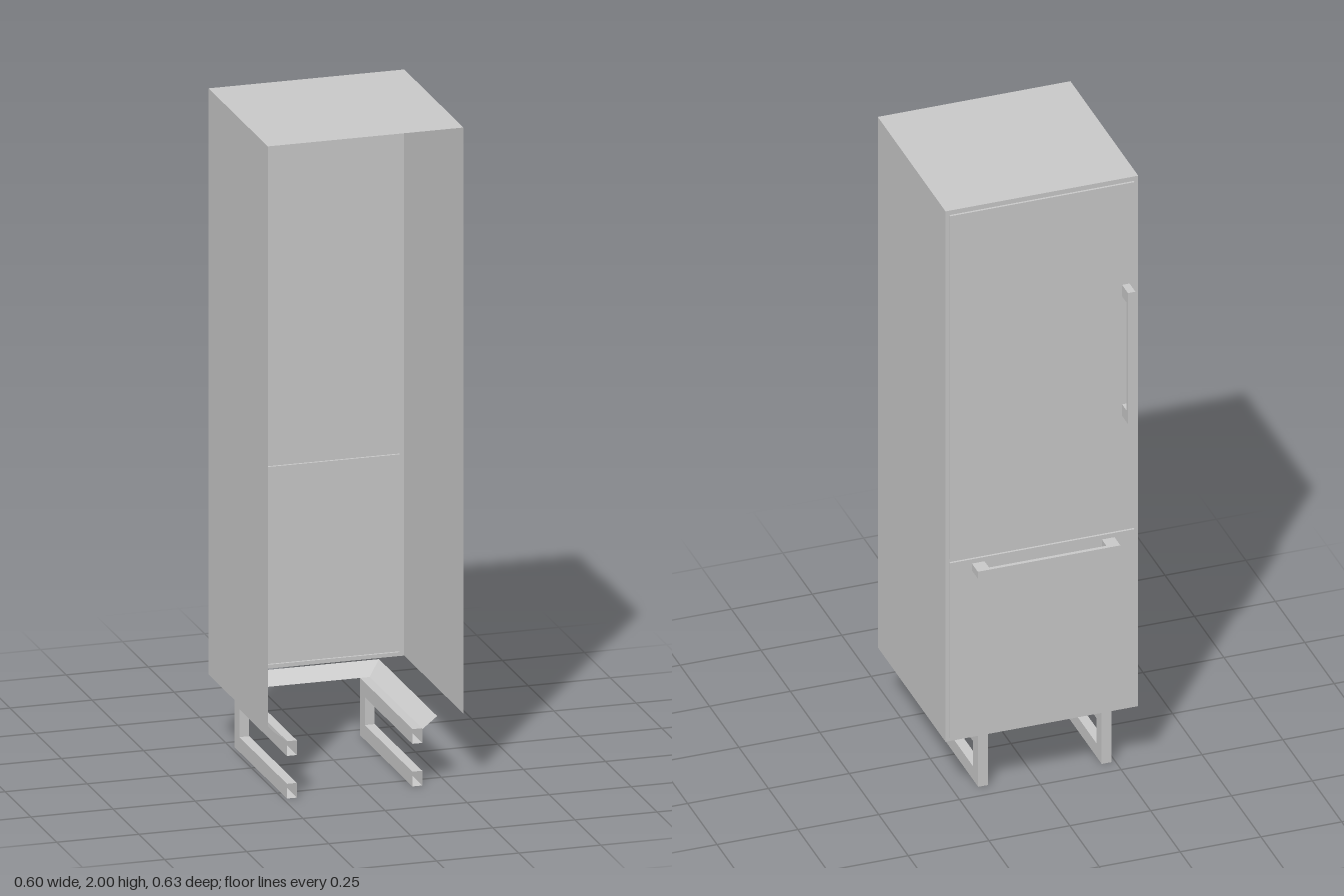
import * as THREE from 'three';

const material = new THREE.MeshStandardMaterial({ color: 0xcccccc, flatShading: true, side: THREE.DoubleSide });

function add(parent, name, geometry) {
  const mesh = new THREE.Mesh(geometry, material);
  mesh.name = name;
  parent.add(mesh);
  return mesh;
}

// Box given by its limits, with chosen sides left open (0 +x, 1 -x, 2 +y, 3 -y, 4 +z, 5 -z)
function openBox([x0, x1], [y0, y1], [z0, z1], open = []) {
  const g = new THREE.BoxGeometry(x1 - x0, y1 - y0, z1 - z0);
  const index = Array.from(g.index.array);
  g.setIndex(index.filter((_, i) => !open.includes(Math.floor(i / 6))));
  g.translate((x0 + x1) / 2, (y0 + y1) / 2, (z0 + z1) / 2);
  return g;
}

function rectangle(Type, x0, x1, y0, y1) {
  return new Type([[x0, y0], [x1, y0], [x1, y1], [x0, y1]].map(p => new THREE.Vector2(...p)));
}

// Bracket-shaped pull: a thin bar on two end posts, lying along x and standing out towards -z
function handleGeometry(length, width) {
  const h = length / 2, post = 0.039, depth = 0.05, bar = 0.012;
  const shape = new THREE.Shape([
    [-h, 0], [-h, depth], [h, depth], [h, 0], [h - post, 0],
    [h - post, depth - bar], [-h + post, depth - bar], [-h + post, 0],
  ].map(p => new THREE.Vector2(...p)));
  const g = new THREE.ExtrudeGeometry(shape, { depth: width, bevelEnabled: false });
  g.translate(0, 0, -width / 2);
  return g.rotateX(-Math.PI / 2);
}

// Sloping three-sided skirt, open at +z
function skirtGeometry() {
  const top = [[0.217, 0.314], [0.217, -0.25], [-0.281, -0.25], [-0.281, 0.314]];
  const bottom = [[0.173, 0.314], [0.173, -0.2], [-0.237, -0.2], [-0.237, 0.314]];
  const pos = [], index = [];
  for (let i = 0; i < 4; i++) {
    pos.push(top[i][0], 0.21, top[i][1], bottom[i][0], 0.175, bottom[i][1]);
    if (i < 3) index.push(2 * i, 2 * i + 1, 2 * i + 2, 2 * i + 1, 2 * i + 3, 2 * i + 2);
  }
  const g = new THREE.BufferGeometry();
  g.setAttribute('position', new THREE.Float32BufferAttribute(pos, 3));
  g.setIndex(index);
  const flat = g.toNonIndexed();
  flat.computeVertexNormals();
  return flat;
}

export function createModel() {
  const model = new THREE.Group();
  model.name = 'refrigerator';
  const X = [-0.299, 0.297], zDoor = -0.26;

  // Cabinet: top and two sides only
  add(model, 'cabinet', openBox(X, [0.21, 2], [zDoor, 0.315], [3, 4, 5]));

  // Thin frame round the two door openings
  const doors = [['upperDoor', 0.826, 1.985], ['lowerDoor', 0.222, 0.814]];
  const frame = rectangle(THREE.Shape, X[0], X[1], 0.21, 2);
  for (const [, y0, y1] of doors) frame.holes.push(rectangle(THREE.Path, -0.285, 0.285, y0, y1));
  const frameGeometry = new THREE.ShapeGeometry(frame);
  frameGeometry.rotateY(Math.PI).translate(X[0] + X[1], 0, zDoor);
  add(model, 'doorFrame', frameGeometry);

  // Hollow door panels
  for (const [name, y0, y1] of doors) {
    add(model, name, openBox([-0.285, 0.285], [y0, y1], [-0.267, zDoor], [4]));
  }

  // Handles
  const upper = add(model, 'upperDoorHandle', handleGeometry(0.442, 0.023));
  upper.rotation.z = Math.PI / 2;
  upper.position.set(-0.258, 1.425, -0.267);
  const lower = add(model, 'lowerDoorHandle', handleGeometry(0.441, 0.023));
  lower.position.set(-0.0025, 0.788, -0.267);

  // Base skirt
  add(model, 'baseSkirt', skirtGeometry());

  // Sled legs: one post with an upper and a lower rail
  for (const [side, x0] of [['right', -0.238], ['left', 0.144]]) {
    const leg = new THREE.Group();
    leg.name = side + 'Leg';
    const x = [x0, x0 + 0.03];
    add(leg, 'post', openBox(x, [0, 0.175], [-0.2, -0.155]));
    add(leg, 'upperRail', openBox(x, [0.13, 0.175], [-0.155, 0.307], [4, 5]));
    add(leg, 'lowerRail', openBox(x, [0, 0.045], [-0.155, 0.307], [4, 5]));
    model.add(leg);
  }
  return model;
}
